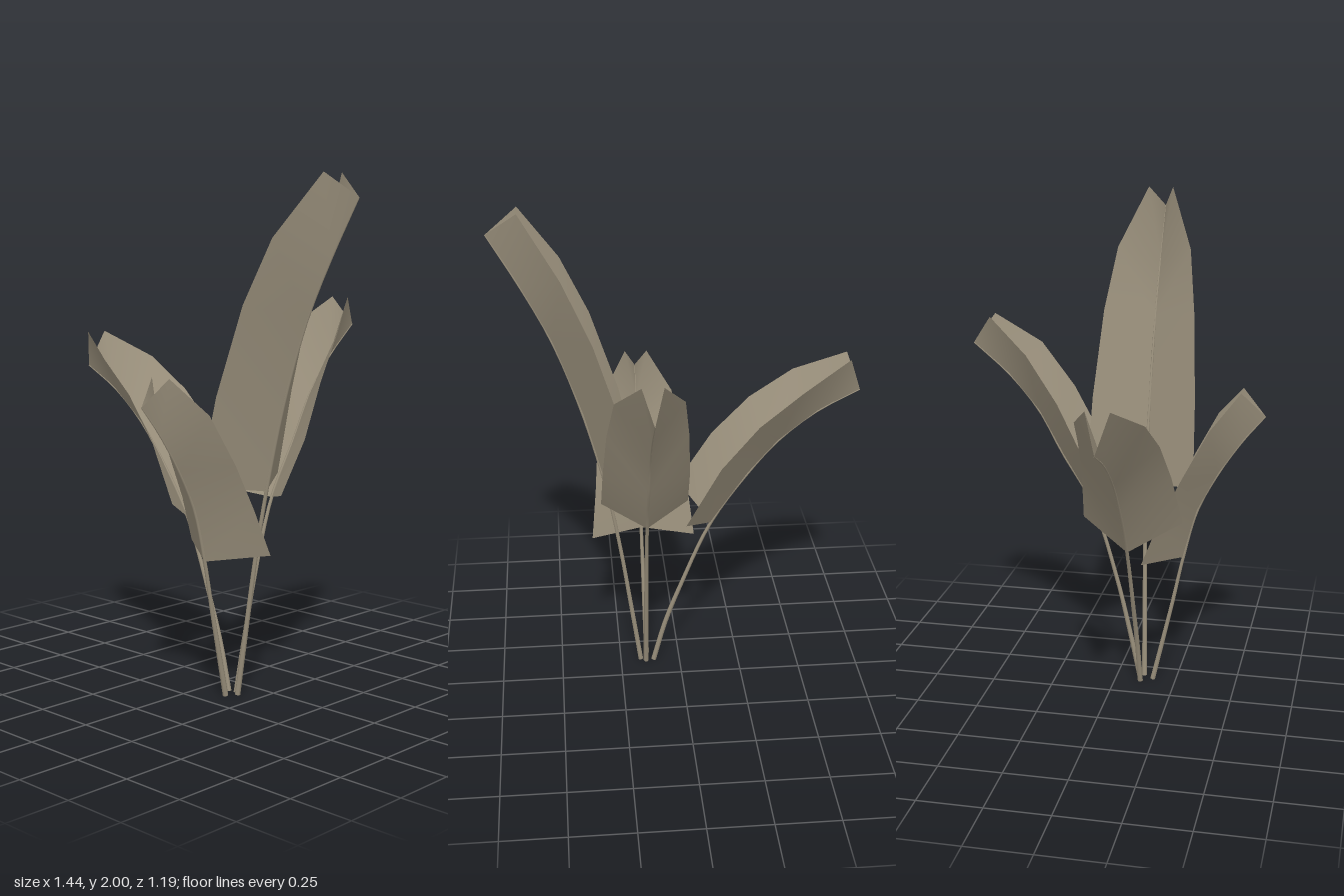
import * as THREE from 'three';

const material = new THREE.MeshStandardMaterial({ color: 0x9a907c, side: THREE.DoubleSide });

// Each leaf lies along one axis; 'across' is its position on the other axis.
// stem: [along, y] below the blade; rib: [along, y]; edge: [along, y, half width].
const leaves = [
  { name: 'leftLeaf', axis: 'x', across: [0.115, 0.09],
    stem: [[0.165, 0.003], [0.205, 0.29], [0.245, 0.57]],
    rib: [[0.29, 0.82], [0.38, 1.17], [0.49, 1.48], [0.6, 1.7], [0.72, 1.91]],
    edge: [[0.15, 0.85, 0.22], [0.23, 1.19, 0.21], [0.34, 1.53, 0.185], [0.45, 1.77, 0.15], [0.6, 2, 0.05]] },
  { name: 'rightLeaf', axis: 'x', across: [0.107, 0.095],
    stem: [[0.11, 0.003], [0.06, 0.19], [-0.005, 0.37]],
    rib: [[-0.13, 0.665], [-0.28, 0.885], [-0.4, 1.025], [-0.55, 1.145], [-0.72, 1.235]],
    edge: [[-0.01, 0.76, 0.2], [-0.15, 0.99, 0.175], [-0.3, 1.155, 0.155], [-0.47, 1.28, 0.13], [-0.67, 1.38, 0.045]] },
  { name: 'backLeaf', axis: 'z', across: [0.143, 0.145],
    stem: [[0.1, 0.003], [0.055, 0.21], [0, 0.44]],
    rib: [[-0.1, 0.755], [-0.23, 0.975], [-0.32, 1.14], [-0.44, 1.285], [-0.59, 1.415]],
    edge: [[0.04, 0.8, 0.175], [-0.1, 1.0, 0.17], [-0.21, 1.215, 0.155], [-0.34, 1.4, 0.13], [-0.51, 1.53, 0.04]] },
  { name: 'frontLeaf', axis: 'z', across: [0.138, 0.146],
    stem: [[0.155, 0.003], [0.195, 0.18], [0.235, 0.36]],
    rib: [[0.276, 0.557], [0.33, 0.76], [0.41, 0.918], [0.504, 1.06], [0.594, 1.17]],
    edge: [[0.138, 0.59, 0.21], [0.207, 0.77, 0.19], [0.29, 0.944, 0.175], [0.39, 1.135, 0.14], [0.5, 1.27, 0.045]] },
];

// One flat-sided half of a folded blade, smooth along its length
function halfBlade(leaf, side, place) {
  const points = [];
  const index = [];
  leaf.rib.forEach(([along, y], i) => {
    const [edgeAlong, edgeY, width] = leaf.edge[i];
    points.push(place(along, y, leaf.across[1]), place(edgeAlong, edgeY, leaf.across[1] + side * width));
    if (i > 0) {
      const a = 2 * i - 2;
      index.push(a, a + 1, a + 3, a, a + 3, a + 2);
    }
  });
  const geometry = new THREE.BufferGeometry().setFromPoints(points);
  geometry.setIndex(index);
  geometry.computeVertexNormals();
  return geometry;
}

// Thin stalk that runs on under the blade as a tapering midrib
function stalk(leaf, place) {
  const path = [...leaf.stem, ...leaf.rib];
  const curve = new THREE.CatmullRomCurve3(path.map(([along, y], i) =>
    place(along, y, THREE.MathUtils.lerp(leaf.across[0], leaf.across[1], Math.min(1, i / 3)))));
  const rings = 24, sides = 6;
  const geometry = new THREE.TubeGeometry(curve, rings, 0.011, sides);
  const position = geometry.attributes.position;
  const v = new THREE.Vector3();
  for (let i = 0; i <= rings; i++) {
    const centre = curve.getPointAt(i / rings);
    for (let j = 0; j <= sides; j++) {
      const k = i * (sides + 1) + j;
      v.fromBufferAttribute(position, k).sub(centre).multiplyScalar(1 - 0.8 * i / rings).add(centre);
      position.setXYZ(k, v.x, Math.max(0, v.y), v.z);
    }
  }
  return geometry;
}

export function createModel() {
  const model = new THREE.Group();
  model.name = 'leafyPlant';
  for (const leaf of leaves) {
    const place = (along, y, across) => leaf.axis === 'x'
      ? new THREE.Vector3(along, y, across) : new THREE.Vector3(across, y, along);
    const group = new THREE.Group();
    group.name = leaf.name;
    const add = (name, geometry) => {
      const mesh = new THREE.Mesh(geometry, material);
      mesh.name = name;
      group.add(mesh);
    };
    add('stem', stalk(leaf, place));
    add('bladeHalfA', halfBlade(leaf, 1, place));
    add('bladeHalfB', halfBlade(leaf, -1, place));
    model.add(group);
  }
  return model;
}
